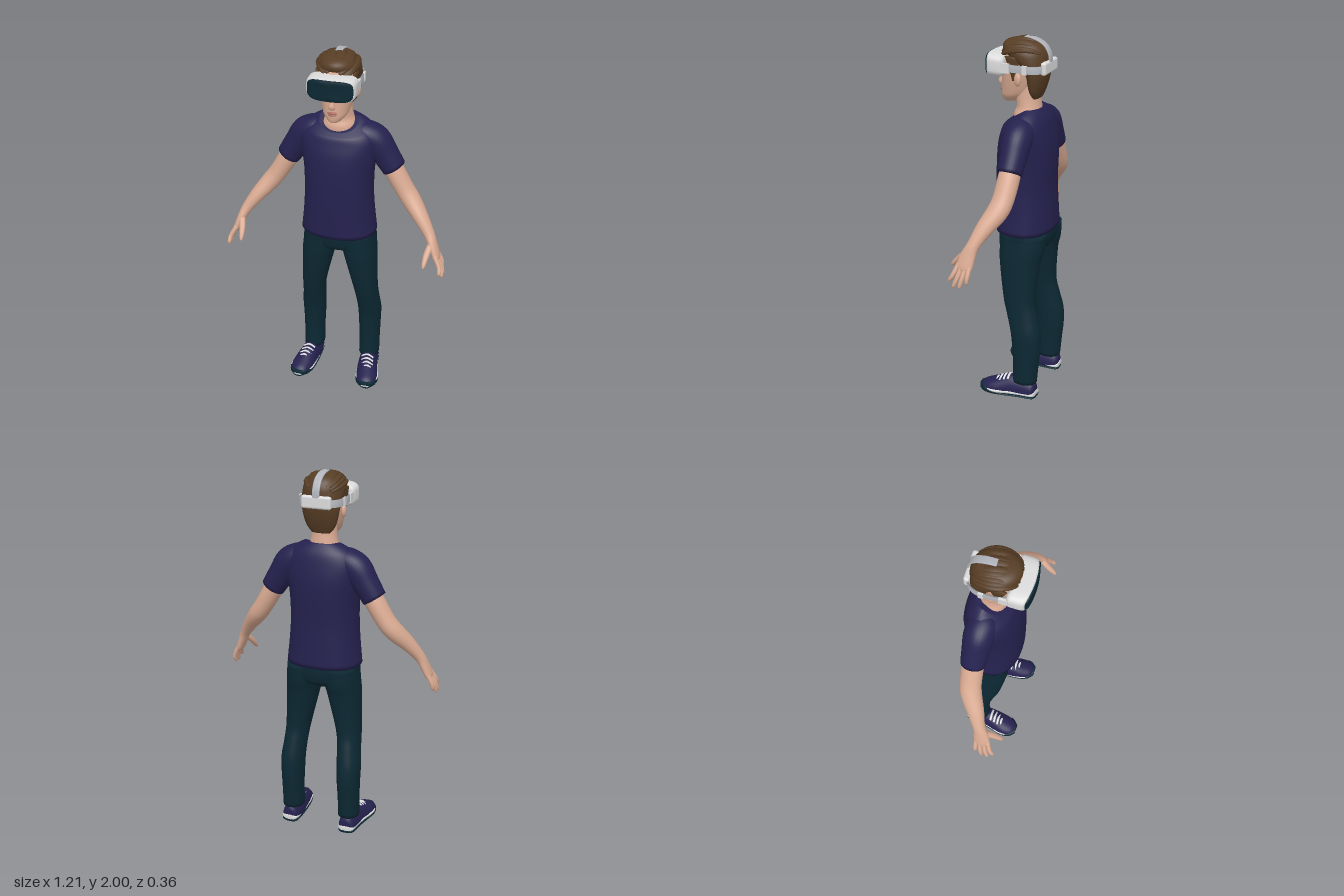
import * as THREE from 'three';
import { RoundedBoxGeometry } from 'three/addons/geometries/RoundedBoxGeometry.js';

const mat = (name, color, side = THREE.FrontSide) => {
  const m = new THREE.MeshStandardMaterial({ color, side });
  m.name = name;
  return m;
};
const V = (x, y, z) => new THREE.Vector3(x, y, z);

// Catmull-Rom resampling of rows of numbers
function resample(rows, k = 4) {
  const out = [];
  for (let i = 0; i < rows.length - 1; i++) {
    const a = rows[Math.max(i - 1, 0)], b = rows[i], c = rows[i + 1], d = rows[Math.min(i + 2, rows.length - 1)];
    for (let j = 0; j < k; j++) {
      const t = j / k;
      out.push(b.map((p, n) => p + 0.5 * t * (c[n] - a[n] + t * (2 * a[n] - 5 * p + 4 * c[n] - d[n] + t * (3 * (p - c[n]) + d[n] - a[n])))));
    }
  }
  out.push(rows[rows.length - 1]);
  return out;
}

// Smooth skin over a list of closed rings, with optional end caps
function skin(rings, caps = true) {
  const n = rings[0].length, pos = [], idx = [];
  rings.forEach(r => r.forEach(p => pos.push(p.x, p.y, p.z)));
  for (let i = 0; i < rings.length - 1; i++) for (let j = 0; j < n; j++) {
    const a = i * n + j, b = i * n + (j + 1) % n;
    idx.push(a, b, b + n, a, b + n, a + n);
  }
  if (caps) [0, rings.length - 1].forEach((ri, e) => {
    const c = V(0, 0, 0);
    rings[ri].forEach(p => c.addScaledVector(p, 1 / n));
    const ci = pos.length / 3;
    pos.push(c.x, c.y, c.z);
    for (let j = 0; j < n; j++) {
      const a = ri * n + j, b = ri * n + (j + 1) % n;
      e ? idx.push(a, b, ci) : idx.push(b, a, ci);
    }
  });
  const g = new THREE.BufferGeometry();
  g.setAttribute('position', new THREE.Float32BufferAttribute(pos, 3));
  g.setIndex(idx);
  g.computeVertexNormals();
  return g;
}

// Superellipse point: p = 2 is round, larger is boxier
const se = (a, p) => [Math.cos(a), Math.sin(a)].map(v => Math.sign(v) * Math.abs(v) ** (2 / p));

// Horizontal rings, bottom to top: [y, centreX, radiusX, zFront, zBack, frontDrop]
function loftY(rows, { p = 2, n = 32, k = 4, caps = true } = {}) {
  return skin((k > 1 ? resample(rows, k) : rows).map(([y, cx, rx, zf, zb, drop = 0]) =>
    Array.from({ length: n }, (_, j) => {
      const [c, s] = se(j / n * Math.PI * 2, p);
      const z = (zf + zb) / 2 + (zf - zb) / 2 * c;
      return V(cx + rx * s, y - drop * Math.max(0, z + 0.05), z);
    })), caps);
}

// Oval tube along a path: [x, y, z, radius along ref, radius across]
function limb(rows, { ref = V(0, 0, 1), p = 2, n = 20, k = 4 } = {}) {
  const r = k > 1 ? resample(rows, k) : rows;
  const at = i => V(...r[Math.min(Math.max(i, 0), r.length - 1)].slice(0, 3));
  return skin(r.map((row, i) => {
    const t = at(i + 1).sub(at(i - 1)).normalize();
    const u = ref.clone().addScaledVector(t, -ref.dot(t)).normalize(), v = t.clone().cross(u);
    return Array.from({ length: n }, (_, j) => {
      const [c, s] = se(j / n * Math.PI * 2, p);
      return at(i).addScaledVector(u, row[3] * c).addScaledVector(v, row[4] * s);
    });
  }));
}

// Move every vertex by a rule
function warp(g, f) {
  const a = g.attributes.position, v = V(0, 0, 0);
  for (let i = 0; i < a.count; i++) { v.fromBufferAttribute(a, i); f(v); a.setXYZ(i, v.x, v.y, v.z); }
  g.computeVertexNormals();
  return g;
}

function mirrored(g) {
  const m = g.clone().scale(-1, 1, 1), ix = m.index.array;
  for (let i = 0; i < ix.length; i += 3) [ix[i], ix[i + 1]] = [ix[i + 1], ix[i]];
  return m;
}

export function createModel() {
  const root = new THREE.Group();
  root.name = 'manWithHeadset';
  const skinTone = mat('skin', 0xd9aa92), navy = mat('navy cloth', 0x25214f), teal = mat('dark teal', 0x0c2833);
  const hair = mat('brown hair', 0x573d25), white = mat('white plastic', 0xdcdcdc), grey = mat('grey strap', 0xb0b4ba);
  const lip = mat('lips', 0xa9695c);
  const add = (name, g, m) => {
    const mesh = new THREE.Mesh(g, m);
    mesh.name = name;
    root.add(mesh);
  };
  const pair = (name, g, m) => { add(name + 'Left', g, m); add(name + 'Right', mirrored(g), m); };

  // Shirt
  add('shirtBody', loftY([
    [0.975, 0, 0.204, 0.13, -0.18, 0], [1.1, 0, 0.19, 0.132, -0.175, 0], [1.22, 0, 0.183, 0.132, -0.17, 0],
    [1.35, 0, 0.186, 0.128, -0.173, 0], [1.45, 0, 0.2, 0.115, -0.17, 0], [1.53, 0, 0.205, 0.096, -0.157, 0.1],
    [1.585, 0, 0.18, 0.084, -0.143, 0.26], [1.618, 0, 0.142, 0.072, -0.125, 0.45], [1.64, 0, 0.1, 0.055, -0.108, 0.6],
  ], { p: 2.3, n: 48 }), navy);
  pair('sleeve', limb([
    [0.1, 1.55, -0.04, 0.07, 0.06], [0.135, 1.545, -0.042, 0.078, 0.07], [0.185, 1.51, -0.048, 0.078, 0.08],
    [0.235, 1.44, -0.05, 0.07, 0.071], [0.285, 1.362, -0.05, 0.064, 0.064],
  ], { n: 28 }), navy);

  // Trousers
  add('trouserSeat', loftY([
    [0.85, 0, 0.09, 0.04, -0.11], [0.88, 0, 0.165, 0.075, -0.155], [0.93, 0, 0.196, 0.088, -0.172], [0.99, 0, 0.196, 0.092, -0.174],
  ], { p: 2.3 }), teal);
  pair('trouserLeg', loftY([
    [0.09, 0.167, 0.058, -0.012, -0.15], [0.2, 0.167, 0.058, -0.015, -0.16], [0.3, 0.166, 0.061, -0.01, -0.17],
    [0.4, 0.165, 0.064, 0, -0.167], [0.5, 0.157, 0.062, 0.025, -0.145], [0.6, 0.147, 0.067, 0.05, -0.127],
    [0.8, 0.12, 0.088, 0.08, -0.145], [0.88, 0.108, 0.094, 0.085, -0.165], [0.97, 0.1, 0.094, 0.09, -0.172],
  ], { p: 2.2 }), teal);

  // Shoes: rows run heel to toe
  const up = { ref: V(0, 1, 0), n: 28 };
  pair('shoeUpper', warp(limb([
    [0.17, 0.03, -0.148, 0.04, 0.025], [0.17, 0.03, -0.13, 0.065, 0.045], [0.172, 0.03, -0.06, 0.08, 0.053],
    [0.178, 0.03, 0, 0.085, 0.056], [0.187, 0.03, 0.05, 0.068, 0.06], [0.196, 0.03, 0.1, 0.047, 0.06],
    [0.201, 0.028, 0.145, 0.03, 0.046], [0.203, 0.026, 0.165, 0.012, 0.022],
  ], up), v => { v.y = Math.max(v.y, 0.018); }), navy);
  const outline = [[0.17, -0.152, 0.028], [0.17, -0.135, 0.046], [0.173, -0.06, 0.053], [0.182, 0.02, 0.06],
    [0.195, 0.09, 0.066], [0.201, 0.14, 0.053], [0.203, 0.17, 0.024]];
  pair('shoeMidsole', limb(outline.map(([x, z, r]) => [x, 0.025, z, 0.014, r]), { ...up, p: 3 }), white);
  pair('shoeOutsole', limb(outline.map(([x, z, r]) => {
    const toe = THREE.MathUtils.smoothstep(z, 0.03, 0.13);
    return [x, 0.007 + 0.016 * toe, z, 0.007 + 0.014 * toe, r + 0.002 * toe];
  }), { ...up, p: 3 }), teal);
  [[0.178, 0.117, 0.005], [0.182, 0.109, 0.028], [0.186, 0.1, 0.05], [0.19, 0.09, 0.07]].forEach(([x, y, z], i) =>
    pair('lace' + i, limb([[x - 0.034, y - 0.018, z, 0.007, 0.004], [x, y, z, 0.007, 0.004], [x + 0.034, y - 0.018, z, 0.007, 0.004]], { n: 8 }), white));

  // Arms and hands
  pair('arm', limb([
    [0.2, 1.47, -0.05, 0.05, 0.05], [0.275, 1.365, -0.05, 0.057, 0.053], [0.345, 1.25, -0.045, 0.057, 0.05],
    [0.39, 1.19, -0.03, 0.056, 0.049], [0.45, 1.12, 0.01, 0.046, 0.04], [0.505, 1.045, 0.045, 0.034, 0.029],
    [0.53, 0.995, 0.063, 0.041, 0.024], [0.553, 0.94, 0.075, 0.045, 0.02], [0.562, 0.92, 0.08, 0.036, 0.014],
  ], { n: 24 }), skinTone);
  // knuckle z, tip x, tip y, tip z
  [[0.107, 0.584, 0.858, 0.142], [0.085, 0.594, 0.833, 0.115], [0.064, 0.594, 0.833, 0.083], [0.044, 0.585, 0.858, 0.048]].forEach(([kz, x, y, z], i) =>
    pair('finger' + i, limb([
      [0.55, 0.95, kz, 0.012, 0.013], [(0.56 + x) / 2 + 0.006, (0.94 + y) / 2, (kz + z) / 2, 0.012, 0.012],
      [x, y + 0.012, z, 0.01, 0.01], [x, y, z, 0.004, 0.004],
    ], { n: 12 }), skinTone));
  pair('thumb', limb([
    [0.525, 1.01, 0.075, 0.018, 0.016], [0.51, 0.965, 0.122, 0.017, 0.015], [0.504, 0.925, 0.16, 0.012, 0.012], [0.503, 0.908, 0.174, 0.005, 0.005],
  ], { n: 12, ref: V(1, 0, 0) }), skinTone);

  // Neck and head
  add('neck', loftY([[1.55, 0, 0.09, 0.045, -0.1], [1.6, 0, 0.088, 0.047, -0.1], [1.64, 0, 0.073, 0.034, -0.096],
    [1.69, 0, 0.066, 0.04, -0.09], [1.76, 0, 0.062, 0.04, -0.09]]), skinTone);
  add('head', loftY([[1.655, 0, 0.018, 0.105, 0.06], [1.664, 0, 0.036, 0.116, 0.02], [1.69, 0, 0.06, 0.121, -0.02],
    [1.72, 0, 0.072, 0.121, -0.06], [1.77, 0, 0.083, 0.119, -0.085], [1.83, 0, 0.091, 0.12, -0.11],
    [1.9, 0, 0.094, 0.114, -0.12], [1.95, 0, 0.083, 0.092, -0.11], [1.975, 0, 0.05, 0.06, -0.08]]), skinTone);
  add('nose', limb([[0, 1.82, 0.112, 0.012, 0.01], [0, 1.775, 0.123, 0.014, 0.013], [0, 1.752, 0.129, 0.014, 0.018], [0, 1.738, 0.122, 0.006, 0.012]]), skinTone);
  [1.717, 1.706].forEach((y, i) => add(i ? 'lowerLip' : 'upperLip',
    new THREE.SphereGeometry(1, 16, 10).scale(0.026 - i * 0.004, 0.006, 0.009).translate(0, y, 0.119), lip));
  pair('ear', new THREE.SphereGeometry(1, 16, 12).scale(0.014, 0.034, 0.021).rotateY(-0.3).translate(0.097, 1.795, -0.008), skinTone);

  // Hair: cap, sideburns and swept locks
  add('hairCap', loftY([[1.69, 0, 0.05, -0.06, -0.095], [1.72, 0, 0.075, -0.045, -0.108], [1.76, 0, 0.09, -0.035, -0.122], [1.81, 0, 0.1, -0.025, -0.134],
    [1.86, 0, 0.106, 0.01, -0.139], [1.9, 0, 0.11, 0.07, -0.138], [1.93, 0, 0.108, 0.106, -0.132],
    [1.96, 0, 0.092, 0.106, -0.115], [1.98, 0, 0.066, 0.08, -0.088], [1.988, 0, 0.03, 0.04, -0.05]]), hair);
  pair('sideburn', limb([[0.088, 1.785, 0.018, 0.008, 0.005], [0.093, 1.83, 0.018, 0.018, 0.008], [0.094, 1.91, 0.02, 0.045, 0.012]], { n: 12 }), hair);
  for (let i = 0; i < 11; i++) {
    const a = -1.25 + i * 0.25, rows = [];
    for (let j = 0; j <= 5; j++) {
      const th = 0.42 + j * 0.42 + 0.06 * Math.sin(i * 2.4), side = a + 0.22 * Math.cos(th) + 0.08 * Math.sin(i * 3);
      const w = 0.006 + 0.014 * Math.sin(Math.PI * (j + 0.5) / 6);
      rows.push([0.1 * Math.sin(side) * Math.sin(th * 0.9 + 0.15), 1.89 + 0.096 * Math.sin(th) * Math.cos(side * 0.85), -0.012 + 0.122 * Math.cos(th), w, w * 0.65]);
    }
    add('hairLock' + i, limb(rows, { ref: V(1, 0, 0), n: 10 }), hair);
  }

  // Headset: curved visor, front plate, straps and rear pad
  const bend = g => warp(g, v => { v.z -= 1.3 * v.x * v.x; });
  const shell = (zs, ry, rx) => bend(limb(zs.map(([z, s]) => [0, 1.857, z, ry * s, rx * s]), { ref: V(0, 1, 0), p: 4, n: 48, k: 1 }));
  add('visorBody', shell([[0.075, 0.8], [0.085, 0.94], [0.1, 1], [0.15, 1], [0.166, 0.98], [0.172, 0.93], [0.173, 0.6], [0.173, 0.2]], 0.06, 0.126), white);
  add('visorPlate', shell([[0.168, 1], [0.175, 1], [0.179, 0.96], [0.18, 0.7], [0.18, 0.4], [0.18, 0.15]], 0.055, 0.116), teal);
  add('headStrap', loftY([[1.834, 0, 0.119, 0.1, -0.148], [1.872, 0, 0.119, 0.1, -0.148], [1.872, 0, 0.111, 0.092, -0.14],
    [1.834, 0, 0.111, 0.092, -0.14], [1.834, 0, 0.119, 0.1, -0.148]], { p: 3, n: 48, k: 1, caps: false }), grey);
  pair('strapArm', new THREE.BoxGeometry(0.012, 0.05, 0.06).translate(0.116, 1.853, 0.06), white);
  pair('strapSlider', new THREE.BoxGeometry(0.01, 0.046, 0.025).translate(0.118, 1.853, -0.055), white);
  add('rearPad', new RoundedBoxGeometry(0.16, 0.066, 0.03, 3, 0.012).translate(0, 1.857, -0.138), white);
  add('topStrap', limb([[0, 1.87, -0.148, 0.02, 0.005], [0, 1.92, -0.143, 0.02, 0.005], [0, 1.965, -0.115, 0.02, 0.005],
    [0, 1.99, -0.065, 0.02, 0.005], [0, 1.995, -0.01, 0.019, 0.005]], { ref: V(1, 0, 0), p: 4 }), grey);
  return root;
}
